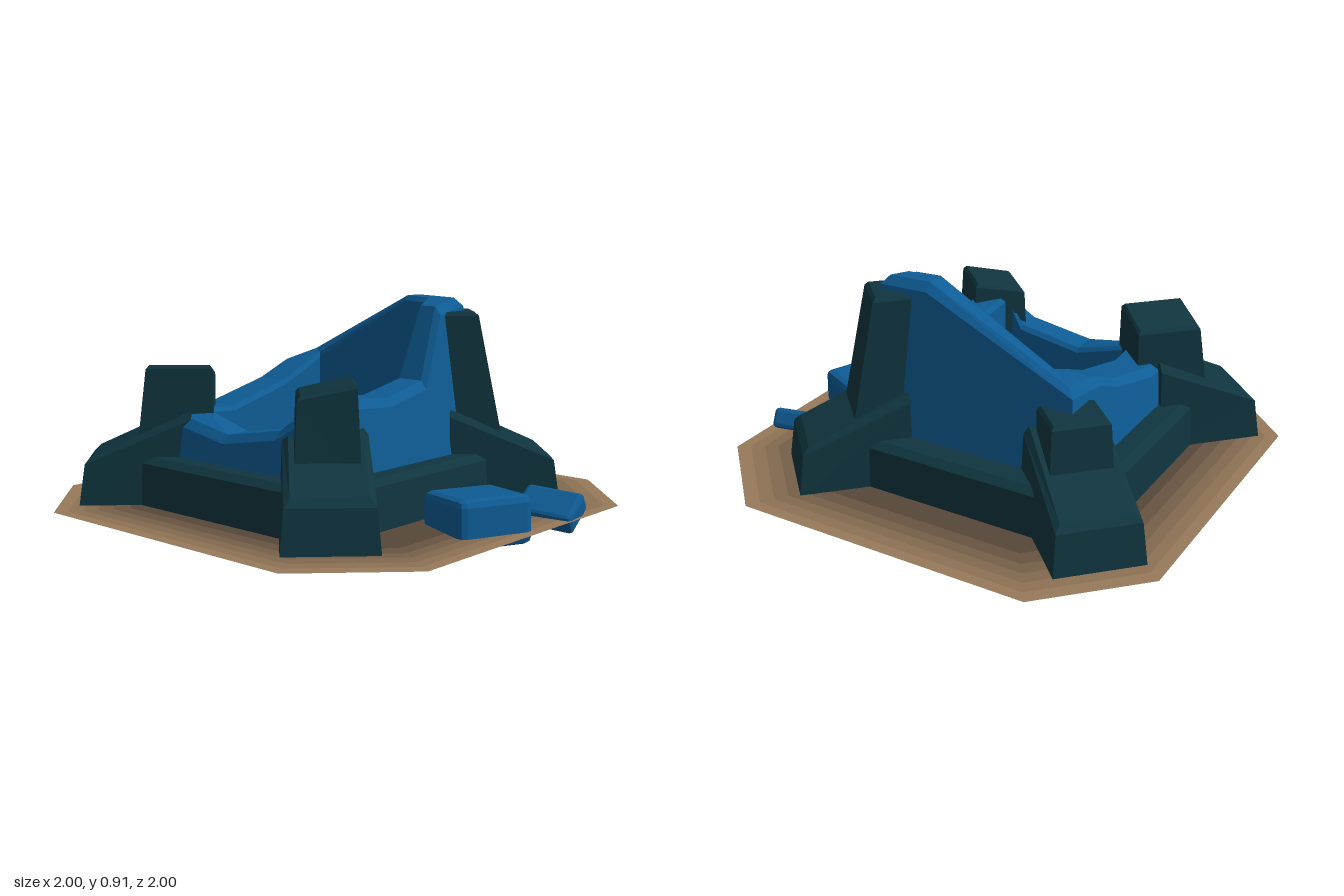
import * as THREE from 'three';
import { RoundedBoxGeometry } from 'three/addons/geometries/RoundedBoxGeometry.js';

const material = (color) => new THREE.MeshStandardMaterial({ color, flatShading: true, side: THREE.DoubleSide });
const blueStone = material(0x0e5c95);
const darkStone = material(0x10353f);

// Joins equal-length rings of [x, y, z] points. A loop joins last to first, otherwise the ends are capped.
// With openBase the side between the last and first point of each ring is left out.
function loft(rings, { loop = false, openBase = false } = {}) {
  const n = rings[0].length;
  const points = rings.flat().map((p) => new THREE.Vector3(...p));
  const faces = [];
  const spans = loop ? rings.length : rings.length - 1;
  for (let i = 0; i < spans; i++) {
    const a = i * n, b = ((i + 1) % rings.length) * n;
    for (let j = 0; j < (openBase ? n - 1 : n); j++) {
      const k = (j + 1) % n;
      faces.push([a + j, a + k, b + k], [a + j, b + k, b + j]);
    }
  }
  if (!loop) {
    const last = (rings.length - 1) * n;
    for (let j = 1; j < n - 1; j++) faces.push([0, j + 1, j], [last, last + j, last + j + 1]);
  }
  // Turn the surface outward if its signed volume is negative
  let volume = 0;
  for (const [a, b, c] of faces) volume += points[a].dot(points[b].clone().cross(points[c]));
  const geometry = new THREE.BufferGeometry().setFromPoints(points);
  geometry.setIndex(faces.flatMap(([a, b, c]) => (volume < 0 ? [a, c, b] : [a, b, c])));
  const flat = geometry.toNonIndexed();
  flat.computeVertexNormals();
  return flat;
}

function addMesh(parent, name, geometry, mat) {
  const mesh = new THREE.Mesh(geometry, mat);
  mesh.name = name;
  parent.add(mesh);
  return mesh;
}

const CORNERS = [[1, 1], [-1, 1], [-1, -1], [1, -1]];

// Low square plinth with a bevelled rim
function plinth() {
  const profile = [[0, 0.035], [0.012, 0.245], [0.045, 0.27], [0.17, 0.27]];
  return loft(CORNERS.map(([s, t]) => profile.map(([inset, y]) => [
    -0.025 + s * (0.652 - inset), y, -0.075 + t * (0.62 - inset),
  ])), { loop: true, openBase: true });
}

// Broken wall: [x, z, height] around the square, clamped to its outer and inner faces
function brokenWall() {
  const stations = [
    [1, 1, 0.915], [0.25, 1, 0.885], [0.115, 1, 0.59], [-0.12, 1, 0.545], [-1, 1, 0.575],
    [-1, 0.17, 0.44], [-1, -0.12, 0.39], [-1, -1, 0.46],
    [-0.25, -1, 0.45], [0.06, -1, 0.53], [0.22, -1, 0.6], [1, -1, 0.635], [1, 0.14, 0.92],
  ];
  const clampTo = (value, center, half) => THREE.MathUtils.clamp(value, center - half, center + half);
  return loft(stations.map(([x, z, h]) => {
    const outer = (y, inset = 0) => {
      const d = 0.12 * y + inset;
      return [clampTo(x, -0.035, 0.553 - d), y, clampTo(z, -0.07, 0.532 - d)];
    };
    const inner = (y, inset = 0) => [clampTo(x, -0.05, 0.34 + inset), y, clampTo(z, -0.06, 0.3 + inset)];
    return [outer(0.02), outer(h - 0.035), outer(h, 0.025), inner(h, 0.015), inner(h - 0.02), inner(0.02)];
  }), { loop: true, openBase: true });
}

// Buttress running out along local +z, with a sloping bevelled top
function buttress() {
  const section = (foot, shoulder, ridge, shoulderY, ridgeY) => [
    [-0.185, 0.043, foot], [-0.168, shoulderY, shoulder], [-0.145, ridgeY, ridge],
    [0.145, ridgeY, ridge], [0.168, shoulderY, shoulder], [0.185, 0.043, foot],
  ];
  return loft([
    section(0.54, 0.54, 0.54, 0.425, 0.455),
    section(1.01, 0.982, 0.955, 0.24, 0.268),
    section(1.01, 0.982, 0.982, 0.24, 0.24),
  ], { openBase: true });
}

// Pillar from inner radius rIn, tapering outward; the top drops by tilt on one side
function pillar(height, rIn, taper, tilt) {
  const ring = (y, drop, inset = 0) => {
    const out = 0.76 - taper * (y - 0.36) - inset;
    const half = 0.125 - 0.045 * (y - 0.36) - inset;
    const back = rIn + inset;
    return [[-half, y - drop, back], [half, y, back], [half, y, out], [-half, y - drop, out]];
  };
  return loft([ring(0.25, 0), ring(height - 0.015, tilt), ring(height, tilt, 0.012)]);
}

// One octagonal band of earth
function earthBand(outer, inner) {
  const octagon = (k) => [
    [1, 0.64], [0.64, 1], [-0.64, 1], [-1, 0.64], [-1, -0.64], [-0.64, -1], [0.64, -1], [1, -0.64],
  ].map(([x, z]) => new THREE.Vector2(x * k, z * k));
  const shape = new THREE.Shape(octagon(outer));
  if (inner > 0) shape.holes.push(new THREE.Path(octagon(inner)));
  return new THREE.ShapeGeometry(shape).rotateX(-Math.PI / 2).translate(0, 0.07, 0);
}

export function createModel() {
  const model = new THREE.Group();
  model.name = 'ruinedTower';

  // Earth, darker toward the walls
  const ground = new THREE.Group();
  ground.name = 'ground';
  model.add(ground);
  const scales = [1, 0.95, 0.9, 0.85, 0.8, 0.74, 0];
  const edge = new THREE.Color(0x977a5a), middle = new THREE.Color(0x57473a);
  for (let i = 0; i < 6; i++) {
    const color = edge.clone().lerp(middle, i / 5);
    addMesh(ground, 'earthBand', earthBand(scales[i], scales[i + 1]), material(color));
  }

  addMesh(model, 'plinth', plinth(), darkStone);
  addMesh(model, 'brokenWall', brokenWall(), blueStone);

  // Corner buttresses: pillar height, inner radius, taper and tilt of each
  const pillars = [[0.86, 0.51, 0.2, 0], [0.648, 0.475, 0.1, 0.045], [0.645, 0.45, 0.12, 0.045], [0.545, 0.545, 0.1, 0]];
  CORNERS.forEach(([s, t], i) => {
    const corner = new THREE.Group();
    corner.name = 'cornerButtress';
    corner.position.set(-0.015, 0, -0.08);
    corner.rotation.y = Math.atan2(s, t);
    addMesh(corner, 'buttress', buttress(), darkStone);
    addMesh(corner, 'pillar', pillar(...pillars[i]), darkStone);
    model.add(corner);
  });

  // Fallen blocks
  const large = addMesh(model, 'largeFallenBlock', new RoundedBoxGeometry(0.325, 0.195, 0.3, 1, 0.03), blueStone);
  large.position.set(-0.035, 0.11, 0.768);
  large.rotation.set(-0.06, -0.4, -0.03);
  const small = addMesh(model, 'smallFallenBlock', new RoundedBoxGeometry(0.16, 0.09, 0.25, 1, 0.018), blueStone);
  small.position.set(0.34, 0.09, 0.86);
  small.rotation.set(0.05, 0.13, 0.55);

  return model;
}
